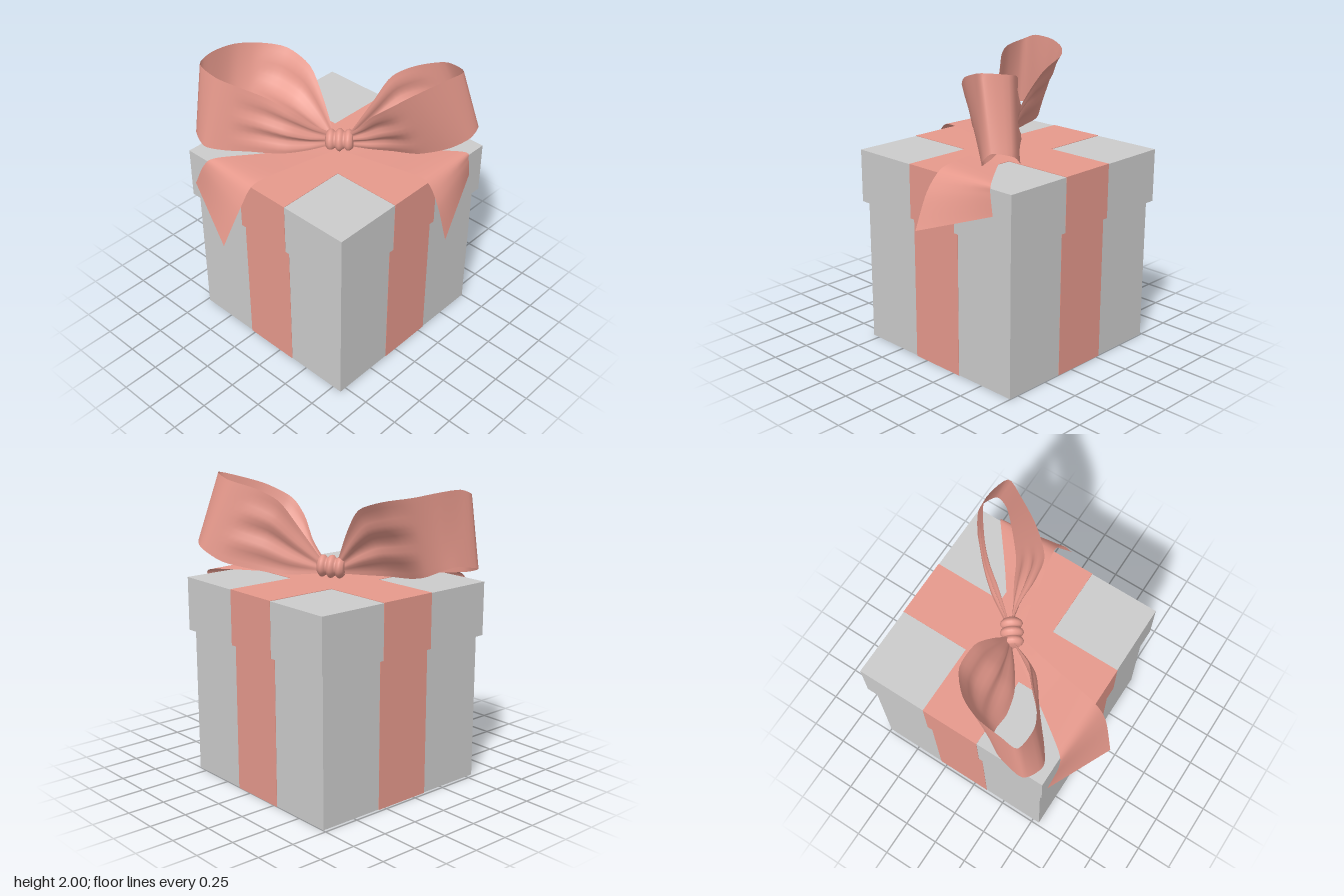
import * as THREE from 'three';

const grey = new THREE.MeshStandardMaterial({ color: 0xcccccc });
const ribbonMat = new THREE.MeshStandardMaterial({ color: 0xe6998c });
const clothMat = new THREE.MeshStandardMaterial({ color: 0xe6998c, side: THREE.DoubleSide });

const CX = -0.08, CZ = -0.1; // centre of the box

function block(name, w, y0, y1, d, mat) {
  const m = new THREE.Mesh(new THREE.BoxGeometry(w, y1 - y0, d), mat);
  m.position.set(CX, (y0 + y1) / 2, CZ);
  m.name = name;
  return m;
}

const curve = pts => new THREE.CatmullRomCurve3(pts.map(p => new THREE.Vector3(...p)), false, 'catmullrom', 0.4);

// Cloth strip spanned between two edge curves; pleats add folds that fade away from the knot
function cloth(name, edgeA, edgeB, nu, nv, pleat = () => 0) {
  const a = curve(edgeA), b = curve(edgeB);
  const across = new THREE.Vector3(0.6, 0, 0.8);
  const pos = [], idx = [];
  for (let i = 0; i <= nu; i++) {
    const pa = a.getPoint(i / nu), pb = b.getPoint(i / nu);
    for (let j = 0; j <= nv; j++) {
      const p = pa.clone().lerp(pb, j / nv).addScaledVector(across, pleat(i / nu, j / nv));
      pos.push(p.x, p.y, p.z);
      if (i < nu && j < nv) {
        const k = i * (nv + 1) + j, n = k + nv + 1;
        idx.push(k, k + 1, n, k + 1, n + 1, n);
      }
    }
  }
  const g = new THREE.BufferGeometry();
  g.setAttribute('position', new THREE.Float32BufferAttribute(pos, 3));
  g.setIndex(idx);
  g.computeVertexNormals();
  const m = new THREE.Mesh(g, clothMat);
  m.name = name;
  return m;
}

// Folds strongest a little way out from the knot at both ends of a loop
function loopPleat(t, v) {
  const d = Math.min(t, 1 - t) / 0.3;
  if (d >= 1) return 0;
  return 0.022 * Math.sin(Math.PI * d) * Math.sin(v * Math.PI * 5) * Math.sin(Math.PI * v);
}

export function createModel() {
  const group = new THREE.Group();
  group.name = 'giftBox';

  // Box, lid and the flush ribbon bands crossing over them
  const e = 0.004;
  group.add(
    block('boxBody', 1.3, 0.003, 0.98, 1.3, grey),
    block('bodyBandFront', 0.4, 0, 0.979, 1.3 + e, ribbonMat),
    block('bodyBandSide', 1.3 + e, 0, 0.979, 0.4, ribbonMat),
    block('lid', 1.36, 0.977, 1.333, 1.36, grey),
    block('lidBandFront', 0.4, 0.975, 1.336, 1.36 + e, ribbonMat),
    block('lidBandSide', 1.36 + e, 0.975, 1.336, 0.4, ribbonMat),
  );

  // Bow loops: top edge, then bottom edge, running out from the knot and back
  group.add(cloth('rightBowLoop', [
    [-0.1, 1.46, -0.07], [-0.16, 1.54, 0.03], [-0.24, 1.66, 0.15], [-0.36, 1.76, 0.25],
    [-0.5, 1.84, 0.37], [-0.62, 1.88, 0.43], [-0.775, 1.91, 0.42], [-0.78, 1.95, 0.31],
    [-0.76, 1.945, 0.14], [-0.69, 1.92, -0.01], [-0.55, 1.89, -0.13], [-0.36, 1.82, -0.15],
    [-0.22, 1.66, -0.12], [-0.1, 1.46, -0.09],
  ], [
    [-0.1, 1.37, -0.05], [-0.16, 1.365, 0.08], [-0.25, 1.36, 0.21], [-0.42, 1.37, 0.35],
    [-0.55, 1.375, 0.46], [-0.67, 1.39, 0.53], [-0.805, 1.44, 0.47], [-0.785, 1.47, 0.3],
    [-0.74, 1.45, 0.22], [-0.64, 1.4, 0.16], [-0.51, 1.37, 0.16], [-0.36, 1.365, 0.12],
    [-0.22, 1.365, 0.03], [-0.1, 1.37, -0.07],
  ], 52, 14, loopPleat));

  group.add(cloth('leftBowLoop', [
    [-0.01, 1.46, -0.13], [0.1, 1.57, -0.13], [0.22, 1.71, -0.1], [0.34, 1.82, -0.11],
    [0.45, 1.91, -0.24], [0.54, 1.97, -0.41], [0.58, 2.0, -0.53], [0.4, 1.97, -0.58],
    [0.24, 1.92, -0.48], [0.13, 1.84, -0.38], [0.07, 1.67, -0.27], [-0.01, 1.46, -0.15],
  ], [
    [-0.01, 1.37, -0.13], [0.12, 1.37, -0.2], [0.25, 1.375, -0.28], [0.4, 1.385, -0.36],
    [0.54, 1.43, -0.48], [0.63, 1.5, -0.58], [0.635, 1.56, -0.66], [0.52, 1.53, -0.72],
    [0.39, 1.45, -0.65], [0.24, 1.4, -0.5], [0.11, 1.37, -0.36], [-0.01, 1.37, -0.17],
  ], 48, 14, loopPleat));

  // Ribbon tails lying on the lid and dropping over its edge
  group.add(cloth('frontTail', [
    [-0.09, 1.37, -0.08], [-0.32, 1.365, 0.26], [-0.53, 1.37, 0.55], [-0.6, 1.3, 0.6], [-0.71, 1.1, 0.59],
  ], [
    [-0.03, 1.37, -0.06], [-0.1, 1.375, 0.28], [-0.15, 1.37, 0.57], [-0.17, 1.23, 0.68], [-0.24, 0.94, 0.78],
  ], 24, 6));
  group.add(cloth('sideTail', [
    [-0.02, 1.37, -0.15], [0.3, 1.365, -0.38], [0.58, 1.365, -0.6], [0.61, 1.31, -0.62], [0.61, 1.17, -0.64],
  ], [
    [-0.02, 1.37, -0.06], [0.3, 1.375, -0.13], [0.59, 1.37, -0.19], [0.71, 1.24, -0.18], [0.8, 1.01, -0.17],
  ], 24, 6));

  // Knot: three soft rolls wrapped around the pinch, lying along the bow
  const profile = [new THREE.Vector2(0.001, -0.09)];
  for (let i = 0; i <= 24; i++) {
    const t = i / 24;
    const r = 0.048 + 0.022 * Math.abs(Math.sin(t * Math.PI * 3)) + 0.006 * Math.sin(t * Math.PI);
    profile.push(new THREE.Vector2(r, -0.09 + 0.18 * t));
  }
  profile.push(new THREE.Vector2(0.001, 0.09));
  const knot = new THREE.Mesh(new THREE.LatheGeometry(profile, 20), clothMat);
  knot.name = 'knot';
  knot.position.set(-0.05, 1.413, -0.1);
  knot.quaternion.setFromUnitVectors(new THREE.Vector3(0, 1, 0), new THREE.Vector3(0.8, 0.05, -0.58).normalize());
  group.add(knot);

  return group;
}
